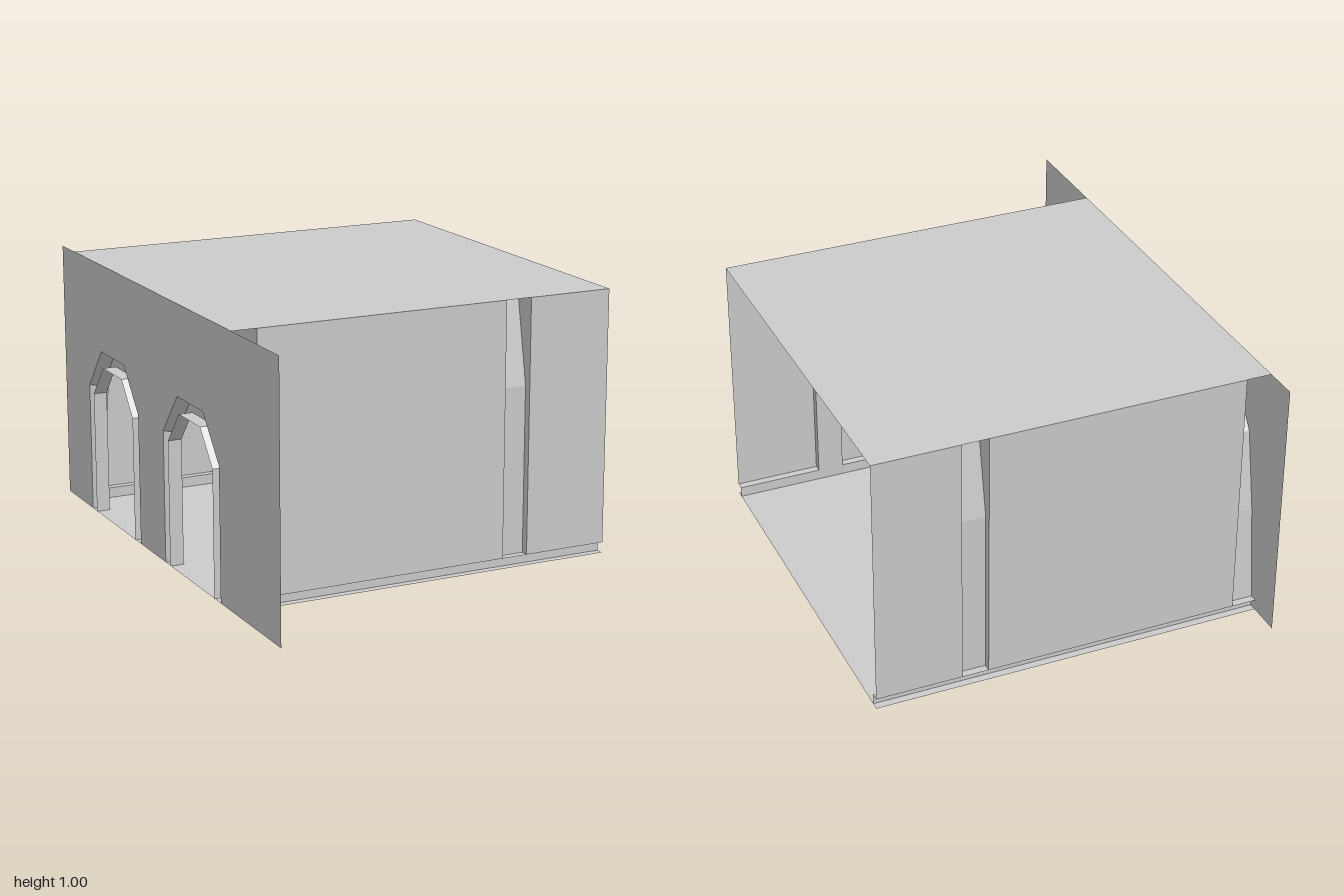
import * as THREE from 'three';

const MAT = new THREE.MeshStandardMaterial({ color: 0xcccccc, side: THREE.DoubleSide, flatShading: true });
const END = 0.745;      // half length along x
const HALF = 0.745;     // half width of the room
const MID = -0.125;     // centre of the room along z
const GROOVE = 0.03, SILL = 0.04;

function add(parent, name, geometry) {
  const mesh = new THREE.Mesh(geometry, MAT);
  mesh.name = name;
  parent.add(mesh);
  return mesh;
}

// Sheet joining rails of equal length; each rail is a list of [x, y, z]
function sheet(rails) {
  const n = rails[0].length, index = [];
  for (let r = 0; r < rails.length - 1; r++)
    for (let i = 0; i < n - 1; i++) {
      const a = r * n + i, b = a + n;
      index.push(a, b, a + 1, b, b + 1, a + 1);
    }
  const g = new THREE.BufferGeometry();
  g.setAttribute('position', new THREE.Float32BufferAttribute(rails.flat(2), 3));
  g.setIndex(index);
  g.computeVertexNormals();
  return g;
}

// Sheet made by sweeping a [z, y] profile from x0 to x1
const sweep = (profile, x0, x1) =>
  sheet([x0, x1].map(x => profile.map(([z, y]) => [x, y, z])));

// Flat panel in the plane x = const from a [z, y] outline
function panel(outline, x) {
  const shape = new THREE.Shape(outline.map(([z, y]) => new THREE.Vector2(z, y)));
  return new THREE.ShapeGeometry(shape).rotateY(-Math.PI / 2).translate(x, 0, 0);
}

// Five-sided arch line: half width, spring height, half width of the top, top height
const arch = (c, w, spring, t, top) =>
  [[c + w, 0], [c + w, spring], [c + t, top], [c - t, top], [c - w, spring], [c - w, 0]];

export function createModel() {
  const model = new THREE.Group();
  model.name = 'archedRoom';

  // Floor and ceiling
  const slab = y => sweep([[MID - HALF, y], [MID + HALF, y]], -END, END);
  add(model, 'floor', slab(0));
  add(model, 'ceiling', slab(1));

  // Channels sunk into the side walls, leaning inward towards the ceiling
  const foot = HALF - GROOVE;
  const channels = [
    { name: 'middleChannel', x0: 0.32, x1: 0.42, ends: [0.32, 0.42],
      back: [[foot, SILL], [foot, 0.67], [0.65, 1]] },
    { name: 'endChannel', x0: -END, x1: -0.65, ends: [-0.65],
      back: [[foot, SILL], [0.675, 0.4], [0.62, 0.7], [0.41, 1]] },
  ];

  for (const side of [1, -1]) {
    const wall = new THREE.Group();
    wall.name = side > 0 ? 'frontWall' : 'backWall';
    model.add(wall);
    const place = pts => pts.map(([d, y]) => [MID + side * d, y]);

    for (const [x0, x1] of [[-0.65, 0.32], [0.42, END]])
      add(wall, 'wallPanel', sweep(place([[HALF, SILL], [HALF, 1]]), x0, x1));

    // Groove along the foot of the wall
    add(wall, 'footGroove', sweep(place([[HALF, SILL], [foot, SILL], [foot, 0]]), -END, END));

    for (const c of channels) {
      add(wall, c.name, sweep(place(c.back), c.x0, c.x1));
      for (const x of c.ends)
        add(wall, c.name + 'Cheek', panel(place([...c.back, [HALF, 1], [HALF, SILL]]), x));
    }
  }

  // End wall with two arched doorways
  const centres = [0.2525, -0.49];
  const outer = c => arch(c, 0.25, 0.5, 0.115, 0.66);
  add(model, 'endWall', panel(
    [[1, 1], [1, 0], ...centres.flatMap(outer), [-1, 0], [-1, 1]], -END));

  // Hollow arch frames standing into the room, open towards the outside
  for (const c of centres) {
    const rail = (pts, x) => pts.map(([z, y]) => [x, y, z]);
    const inner = arch(c, 0.2, 0.475, 0.095, 0.6);
    add(model, 'archFrame', sheet([
      rail(outer(c), -END),
      rail(arch(c, 0.24, 0.49, 0.112, 0.638), -0.695),
      rail(inner, -0.695),
      rail(inner, -0.748),
    ]));
  }
  return model;
}
